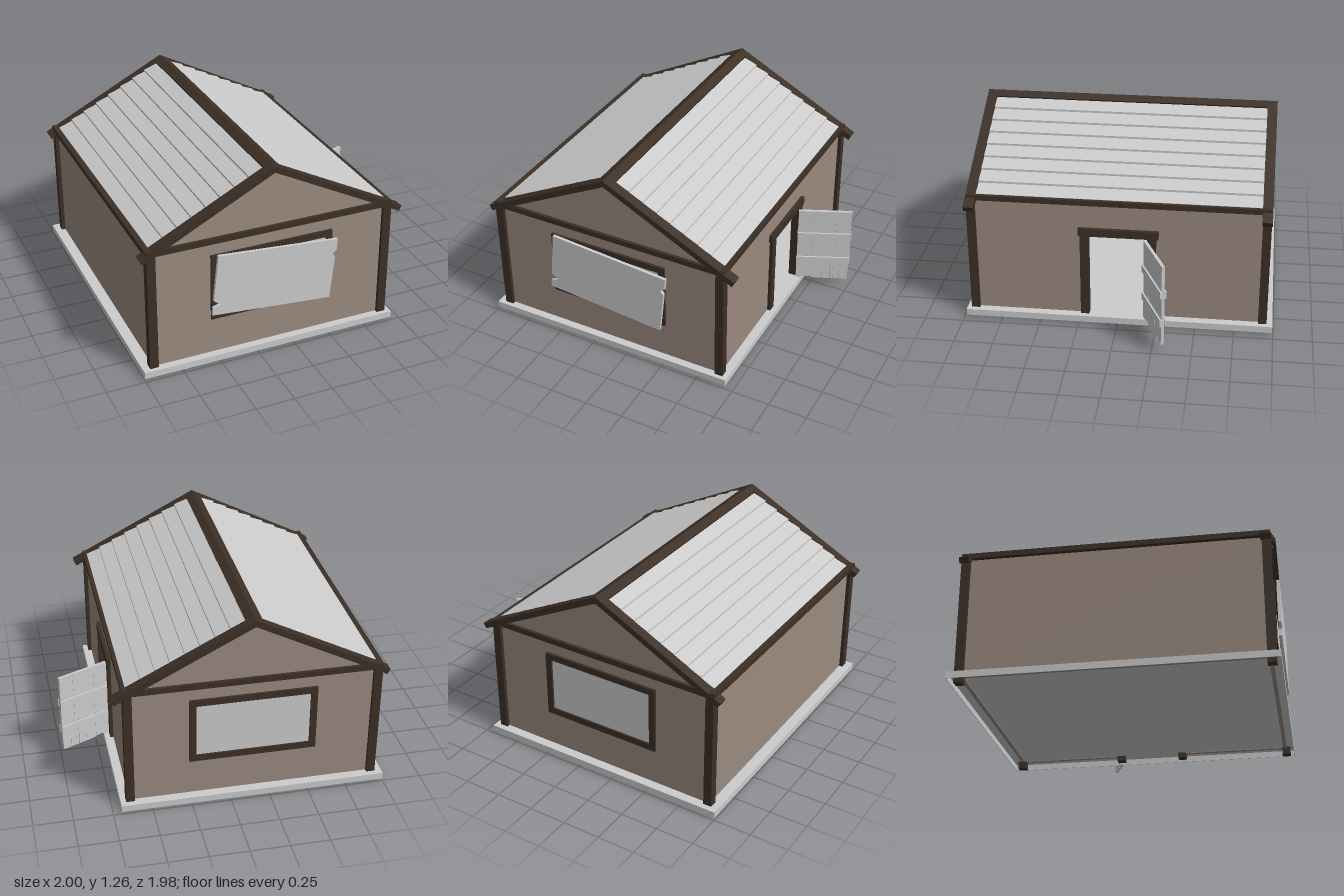
import * as THREE from 'three';

const GREY = new THREE.MeshStandardMaterial({ color: 0xcccccc });
const WOOD = new THREE.MeshStandardMaterial({ color: 0x3c3026 });
const PLASTER = new THREE.MeshStandardMaterial({ color: 0x9a8a7f });

const CX = -0.142;      // ridge line
const RIDGE = 1.265;    // ridge height
const SLOPE = 0.514;
const roofY = (d) => RIDGE - SLOPE * d; // d = distance from the ridge line

function createModel() {
  const house = new THREE.Group();
  house.name = 'house';

  const add = (name, geometry, material, parent = house) => {
    const mesh = new THREE.Mesh(geometry, material);
    mesh.name = name;
    parent.add(mesh);
    return mesh;
  };
  // Box given by its limits
  const box = (name, material, x0, x1, y0, y1, z0, z1, parent) => {
    const geo = new THREE.BoxGeometry(x1 - x0, y1 - y0, z1 - z0);
    geo.translate((x0 + x1) / 2, (y0 + y1) / 2, (z0 + z1) / 2);
    return add(name, geo, material, parent);
  };
  const outline = (pts) => new THREE.Shape(pts.map(([x, y]) => new THREE.Vector2(x, y)));
  const rectHole = (x0, x1, y0, y1) =>
    new THREE.Path([[x0, y0], [x0, y1], [x1, y1], [x1, y0]].map(([x, y]) => new THREE.Vector2(x, y)));
  // Shape in the xy plane, extruded from z0 to z1
  const slab = (name, material, shape, z0, z1, parent) => {
    const geo = new THREE.ExtrudeGeometry(shape, { depth: z1 - z0, bevelEnabled: false });
    geo.translate(0, 0, z0);
    return add(name, geo, material, parent);
  };

  // Floor: a tray, hollow from below, with a thin rim
  box('floor', GREY, -1, 0.697, 0.05, 0.055, -0.995, 0.985);
  for (const x of [-1, 0.693]) box('floorRim', GREY, x, x + 0.004, 0.012, 0.05, -0.995, 0.985);
  for (const z of [-0.995, 0.981]) box('floorRim', GREY, -0.996, 0.693, 0.012, 0.05, z, z + 0.004);

  // Corner posts
  for (const [x0, x1] of [[-0.955, -0.9], [0.608, 0.663]])
    for (const [z0, z1] of [[0.903, 0.958], [-0.958, -0.903]])
      box('cornerPost', WOOD, x0, x1, 0, 0.862, z0, z1);

  // Gable walls with framed windows, front and back
  const [wx0, wx1, wy0, wy1, fw] = [-0.548, 0.258, 0.3, 0.745, 0.042];
  for (const s of [1, -1]) {
    const span = (a, b) => (s > 0 ? [a, b] : [-b, -a]);
    const gable = outline([[-0.93, 0.045], [0.64, 0.045], [0.64, roofY(0.785) - 0.035],
      [CX, RIDGE - 0.035], [-0.93, roofY(0.785) - 0.035]]);
    gable.holes.push(rectHole(wx0 + fw, wx1 - fw, wy0 + fw, wy1 - fw));
    slab('gableWall', PLASTER, gable, ...span(0.91, 0.935));

    const frame = outline([[wx0, wy0], [wx1, wy0], [wx1, wy1], [wx0, wy1]]);
    frame.holes.push(rectHole(wx0 + fw, wx1 - fw, wy0 + fw, wy1 - fw));
    slab('windowFrame', WOOD, frame, ...span(0.9, 0.952));
    box('windowPane', GREY, wx0 + fw, wx1 - fw, wy0 + fw, wy1 - fw, ...span(0.93, 0.94));

    box('gableBeam', WOOD, -0.96, 0.664, 0.828, 0.865, ...span(0.905, 0.956));
  }

  // Broken board nailed over the front window
  slab('windowBoard', GREY, outline([[-0.515, 0.755], [0.282, 0.69], [0.276, 0.615], [0.248, 0.595],
    [0.268, 0.57], [0.238, 0.28], [-0.556, 0.35], [-0.55, 0.4], [-0.5, 0.415], [-0.546, 0.45]]),
  0.962, 0.982);

  // Side walls, the one on +x with a doorway
  box('sideWall', PLASTER, -0.93, -0.905, 0.045, 0.845, -0.92, 0.92);
  box('sideWall', PLASTER, 0.615, 0.64, 0.045, 0.845, 0.2, 0.92);
  box('sideWall', PLASTER, 0.615, 0.64, 0.045, 0.845, -0.92, -0.2);
  box('wallOverDoor', PLASTER, 0.615, 0.64, 0.63, 0.845, -0.2, 0.2);
  box('eaveBeam', WOOD, 0.612, 0.665, 0.832, 0.866, -0.955, 0.955);
  box('eaveBeam', WOOD, -0.96, -0.907, 0.832, 0.866, -0.955, 0.955);

  // Door frame
  box('doorPost', WOOD, 0.607, 0.662, 0.015, 0.625, 0.183, 0.238);
  box('doorPost', WOOD, 0.607, 0.662, 0.015, 0.625, -0.245, -0.19);
  box('doorLintel', WOOD, 0.604, 0.665, 0.618, 0.67, -0.26, 0.25);

  // Open plank door; local x runs from the hinge to the free edge
  const door = new THREE.Group();
  door.name = 'door';
  door.position.set(0.665, 0, -0.177);
  door.rotation.y = Math.atan2(0.145, 0.325);
  house.add(door);
  const planks = [
    [[0, 0.062], [0.03, 0.06], [0.05, 0.07], [0.1, 0.072], [0.1, 0.612], [0, 0.612]],
    [[0.101, 0.062], [0.177, 0.06], [0.178, 0.16], [0.179, 0.06], [0.229, 0.06], [0.231, 0.31],
      [0.233, 0.06], [0.254, 0.06], [0.254, 0.612], [0.101, 0.612]],
    [[0.255, 0.06], [0.292, 0.062], [0.293, 0.19], [0.295, 0.06], [0.349, 0.06], [0.355, 0.22],
      [0.352, 0.612], [0.255, 0.612]],
  ];
  for (const p of planks) slab('doorPlank', GREY, outline(p), -0.01, 0.01, door);
  for (const y of [0.195, 0.392])
    for (const z of [-0.015, 0.015])
      box('doorBrace', GREY, -0.002, 0.358, y, y + 0.048, z - 0.006, z + 0.006, door);

  // Chevron timbers: the gable rafters and the ridge cap
  const chevron = (name, dl, dr, t, z0, z1) => {
    const n = Math.hypot(1, SLOPE);
    const [ox, oy] = [SLOPE * t / n, t / n];
    slab(name, WOOD, outline([[CX, RIDGE], [CX - dl, roofY(dl)], [CX - dl + ox, roofY(dl) - oy],
      [CX, RIDGE - t * n], [CX + dr - ox, roofY(dr) - oy], [CX + dr, roofY(dr)]]), z0, z1);
  };
  chevron('rafters', 0.858, 0.877, 0.038, 0.894, 0.96);
  chevron('rafters', 0.858, 0.877, 0.038, -0.962, -0.898);
  chevron('ridgeCap', 0.051, 0.051, 0.03, -0.898, 0.894);

  // Overlapping roof boards on both slopes
  const count = 8, w = 0.0915;
  for (const s of [1, -1])
    for (let i = 0; i < count; i++) {
      const a = 0.05 + i * w, b = a + w;
      slab('roofBoard', GREY, outline([[CX + s * a, roofY(a) - 0.008], [CX + s * b, roofY(b) + 0.005],
        [CX + s * b, roofY(b) - 0.014], [CX + s * a, roofY(a) - 0.027]]), -0.898, 0.894);
    }

  return house;
}

export { createModel };
